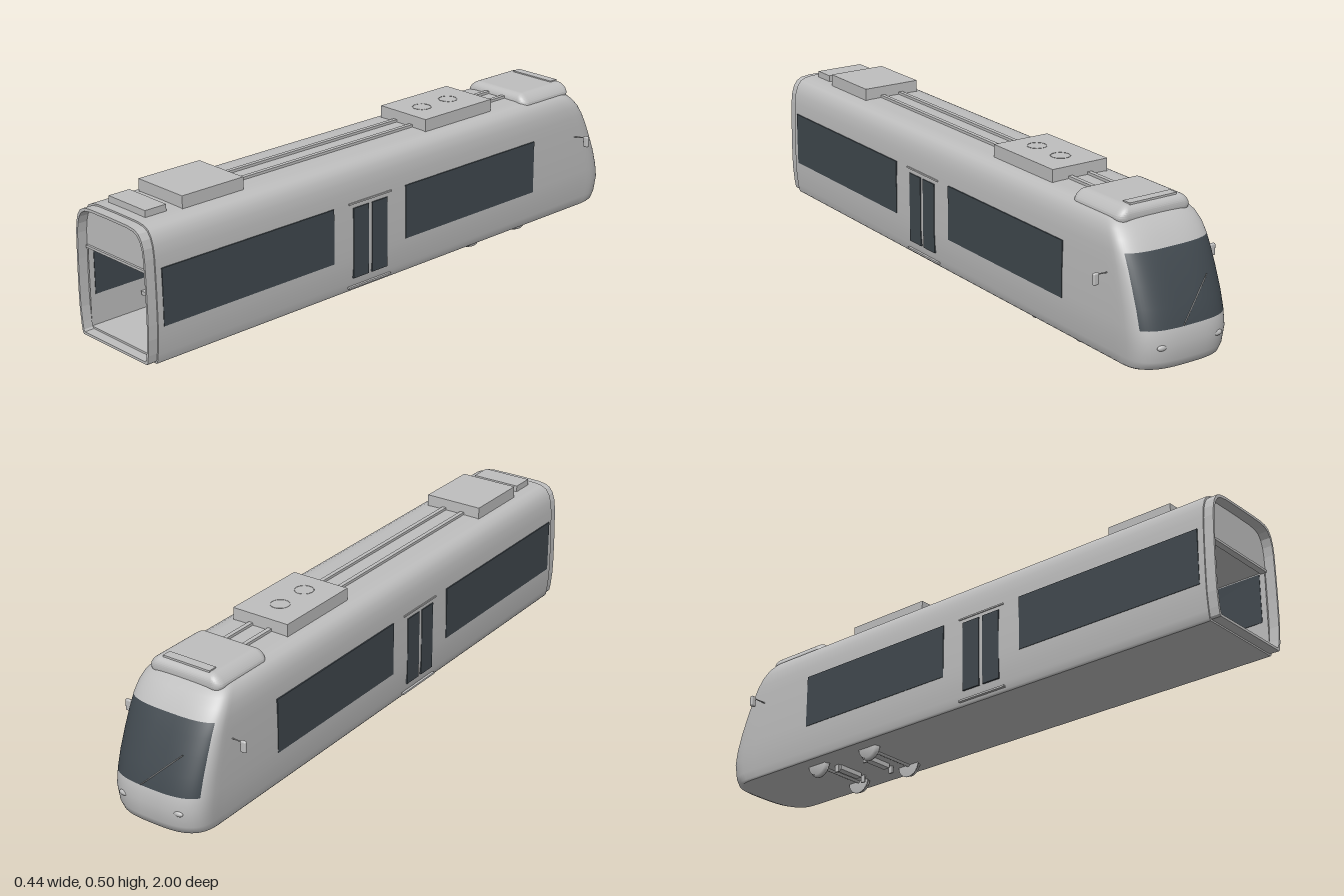
import * as THREE from 'three';
import { RoundedBoxGeometry } from 'three/addons/geometries/RoundedBoxGeometry.js';

const paint = new THREE.MeshStandardMaterial({ color: 0xbebebe, side: THREE.DoubleSide });
paint.name = 'grey paint';
const glass = new THREE.MeshStandardMaterial({ color: 0x40484e, side: THREE.DoubleSide });
glass.name = 'dark glass';

const END = 0.968;
// Hull levels: height, half width, nose z, depth of the nose corner
const LEVELS = [
  [0.04, 0.152, -0.968, 0.10], [0.046, 0.157, -0.985, 0.11], [0.07, 0.161, -0.995, 0.11],
  [0.12, 0.166, -1, 0.11], [0.165, 0.167, -0.992, 0.11], [0.22, 0.167, -0.972, 0.10],
  [0.28, 0.166, -0.945, 0.09], [0.33, 0.1645, -0.92, 0.08], [0.368, 0.163, -0.897, 0.07],
  [0.40, 0.159, -0.875, 0.065], [0.425, 0.151, -0.852, 0.06], [0.443, 0.138, -0.83, 0.06],
  [0.452, 0.12, -0.81, 0.06], [0.456, 0.09, -0.79, 0.06], [0.457, 0, -0.77, 0.06],
];

// Plan outline of one level: right wall, superelliptic nose, left wall
function outline([y, w, n, d]) {
  const pts = [[w, y, END], [w, y, n + d + 0.03]];
  for (let a = 0; a <= 180; a += 5) {
    const t = THREE.MathUtils.degToRad(a), c = Math.cos(t), s = Math.max(0, Math.sin(t));
    pts.push([w * Math.sign(c) * Math.abs(c) ** 0.667, y, n + d * (1 - s ** 0.667)]);
  }
  pts.push([-w, y, n + d + 0.03], [-w, y, END]);
  return pts;
}

// Skin over levels; cells accepted by isGlass get the second material
function loft(levels, isGlass) {
  const rows = levels.map(outline), cols = rows[0].length;
  const body = [], pane = [];
  for (let j = 0; j < rows.length - 1; j++) {
    for (let i = 0; i < cols - 1; i++) {
      const a = j * cols + i, b = a + 1, c = b + cols, d = a + cols;
      (isGlass(i, j) ? pane : body).push(a, b, c, a, c, d);
    }
  }
  const g = new THREE.BufferGeometry();
  g.setAttribute('position', new THREE.Float32BufferAttribute(rows.flat(2), 3));
  g.setIndex([...body, ...pane]);
  g.addGroup(0, body.length, 0);
  g.addGroup(body.length, pane.length, 1);
  g.computeVertexNormals();
  return g;
}

// Cross-section of the hull, scaled about its middle
function section(k) {
  const half = LEVELS.map(([y, w]) => new THREE.Vector2(w * k, 0.248 + (y - 0.248) * k));
  const other = half.slice(0, -1).reverse().map((p) => new THREE.Vector2(-p.x, p.y));
  return [...half, ...other];
}

function roundedRect(w, y0, y1, r) {
  const p = new THREE.Path();
  p.moveTo(-w, y0);
  p.lineTo(w, y0);
  p.lineTo(w, y1 - r);
  p.quadraticCurveTo(w, y1, w - r, y1);
  p.lineTo(-w + r, y1);
  p.quadraticCurveTo(-w, y1, -w, y1 - r);
  p.closePath();
  return p;
}

export function createModel() {
  const model = new THREE.Group();
  model.name = 'tramCar';

  function add(name, geometry, material = paint, x = 0, y = 0, z = 0) {
    const m = new THREE.Mesh(geometry, material);
    m.name = name;
    m.position.set(x, y, z);
    model.add(m);
    return m;
  }
  // Box given by its limits
  const box = (name, x0, x1, y0, y1, z0, z1, material = paint) =>
    add(name, new THREE.BoxGeometry(x1 - x0, y1 - y0, z1 - z0), material,
      (x0 + x1) / 2, (y0 + y1) / 2, (z0 + z1) / 2);
  // Round bar between two points
  function rod(name, a, b, r, material = paint) {
    const path = new THREE.LineCurve3(new THREE.Vector3(...a), new THREE.Vector3(...b));
    return add(name, new THREE.TubeGeometry(path, 1, r, 8), material);
  }

  // Hull with wrapped windscreen, and its flat underside
  add('hull', loft(LEVELS, (i, j) => j >= 4 && j < 8 && i >= 8 && i < 32), [paint, glass]);
  const [y, w, n, d] = LEVELS[0];
  add('underside', loft([[y, 0, n, d], [y, w, n, d]], () => false), [paint, glass]);

  // Open end: wall with doorway, and the gangway ring
  const wall = new THREE.Shape(section(1));
  wall.holes.push(roundedRect(0.15, 0.058, 0.315, 0.02));
  add('endWall', new THREE.ShapeGeometry(wall), paint, 0, 0, END);
  const ring = new THREE.Shape(section(0.975));
  ring.holes.push(new THREE.Path(section(0.935)));
  add('gangwayRing', new THREE.ExtrudeGeometry(ring, { depth: 1 - END, bevelEnabled: false }),
    paint, 0, 0, END);
  box('doorwayHeader', -0.15, 0.15, 0.31, 0.318, 0.955, 0.975);

  // Interior shell
  box('floor', -0.155, 0.155, 0.05, 0.058, -0.64, 0.966);
  box('ceiling', -0.155, 0.155, 0.316, 0.32, -0.64, 0.966);
  box('cabPartition', -0.155, 0.155, 0.058, 0.318, -0.645, -0.64);
  for (const s of [-1, 1]) {
    box('innerWall', s * 0.155 - 0.002, s * 0.155 + 0.002, 0.055, 0.318, -0.64, 0.966);
    box('cabDoor', s * 0.02 - 0.0185, s * 0.02 + 0.0185, 0.06, 0.31, -0.64, -0.637);
    box('cabDoorWindow', s * 0.02 - 0.017, s * 0.02 + 0.017, 0.279, 0.304, -0.637, -0.634, glass);
  }
  box('cabScreen', -0.102, -0.04, 0.2, 0.256, -0.64, -0.634, glass);

  // Seats in pairs on both sides of the aisle
  for (const s of [-1, 1]) {
    for (const z of [0.72, 0.42, -0.1, -0.3, -0.5]) {
      for (const x of [0.0715, 0.124]) {
        box('seatCushion', s * x - 0.0255, s * x + 0.0255, 0.105, 0.117, z, z + 0.065);
        box('seatBack', s * x - 0.0255, s * x + 0.0255, 0.117, 0.222, z - 0.01, z);
      }
      box('seatPedestal', s * 0.095 - 0.04, s * 0.095 + 0.04, 0.058, 0.083, z, z + 0.05);
      box('seatLeg', s * 0.105 - 0.012, s * 0.105 + 0.012, 0.083, 0.105, z + 0.015, z + 0.04);
    }
    for (const z of [0.27, 0.02]) {
      rod('grabPole', [s * 0.125, 0.058, z], [s * 0.125, 0.316, z], 0.002);
    }
  }

  // Side windows and doors, glazed outside and inside
  const panes = [
    ['sideWindow', 0.155, 0.332, 0.293, 0.948], ['sideWindow', 0.155, 0.332, -0.61, -0.012],
    ['doorWindow', 0.085, 0.315, 0.148, 0.212], ['doorWindow', 0.085, 0.315, 0.068, 0.133],
  ];
  for (const s of [-1, 1]) {
    for (const [name, y0, y1, z0, z1] of panes) {
      box(name, s * 0.165 - 0.0035, s * 0.165 + 0.0035, y0, y1, z0, z1, glass);
      box(name + 'Inside', s * 0.1525 - 0.001, s * 0.1525 + 0.001, y0, Math.min(y1, 0.312), z0, z1, glass);
    }
    box('doorTopRail', s * 0.164 - 0.004, s * 0.164 + 0.004, 0.328, 0.333, 0.05, 0.23);
    box('doorStep', s * 0.162 - 0.005, s * 0.162 + 0.005, 0.052, 0.058, 0.05, 0.23);
  }

  // Roof equipment
  box('rearRoofUnit', -0.1, 0.1, 0.45, 0.494, 0.588, 0.815);
  box('middleRoofUnit', -0.1, 0.1, 0.45, 0.495, -0.468, -0.165);
  box('smallRoofUnit', -0.084, 0.084, 0.45, 0.477, 0.86, 0.935);
  for (const s of [-1, 1]) {
    box('roofConduit', s * 0.035 - 0.007, s * 0.035 + 0.007, 0.45, 0.465, -0.62, 0.6);
  }
  for (const z of [-0.37, -0.25]) {
    const fan = add('fanRing', new THREE.TorusGeometry(0.03, 0.001, 6, 24), paint, 0, 0.495, z);
    fan.rotation.x = Math.PI / 2;
  }

  // Tapered fairing above the cab
  const fairing = new RoundedBoxGeometry(0.26, 0.06, 0.23, 5, 0.027);
  const p = fairing.attributes.position;
  for (let i = 0; i < p.count; i++) if (p.getY(i) > 0) p.setX(i, p.getX(i) * (1 - p.getY(i) * 4));
  fairing.computeVertexNormals();
  add('roofFairing', fairing, paint, 0, 0.452, -0.712);
  box('fairingVent', -0.084, 0.084, 0.47, 0.486, -0.81, -0.78);

  // Mirrors and lamps
  for (const s of [-1, 1]) {
    rod('mirrorArm', [s * 0.155, 0.298, -0.815], [s * 0.205, 0.305, -0.825], 0.002);
    add('mirror', new RoundedBoxGeometry(0.02, 0.037, 0.012, 3, 0.005), paint, s * 0.211, 0.292, -0.825);
    add('headlamp', new THREE.SphereGeometry(0.013, 16, 10), paint, s * 0.1, 0.115, -0.988)
      .scale.set(1.3, 0.7, 0.6);
  }
  rod('wiper', [0.03, 0.168, -0.995], [-0.09, 0.28, -0.945], 0.0015);

  // Bogie: flanged wheels, axles, motors and brackets
  for (const z of [-0.39, -0.615]) {
    const inner = z + (z > -0.5 ? -0.05 : 0.05);
    for (const s of [-1, 1]) {
      const profile = [[0, -0.009], [0.036, -0.009], [0.038, 0.004], [0.042, 0.005], [0.042, 0.009], [0, 0.009]]
        .map(([r, h]) => new THREE.Vector2(r, h));
      add('wheel', new THREE.LatheGeometry(profile, 28), paint, s * 0.098, 0.042, z)
        .rotation.z = s * Math.PI / 2;
      box('bracket', s * 0.061 - 0.003, s * 0.061 + 0.003, 0.016, 0.06, inner - 0.008, inner + 0.008);
    }
    rod('axle', [-0.095, 0.042, z], [0.095, 0.042, z], 0.008);
    box('motor', -0.055, 0.04, 0.025, 0.045, inner - 0.012, inner + 0.012);
  }
  return model;
}
